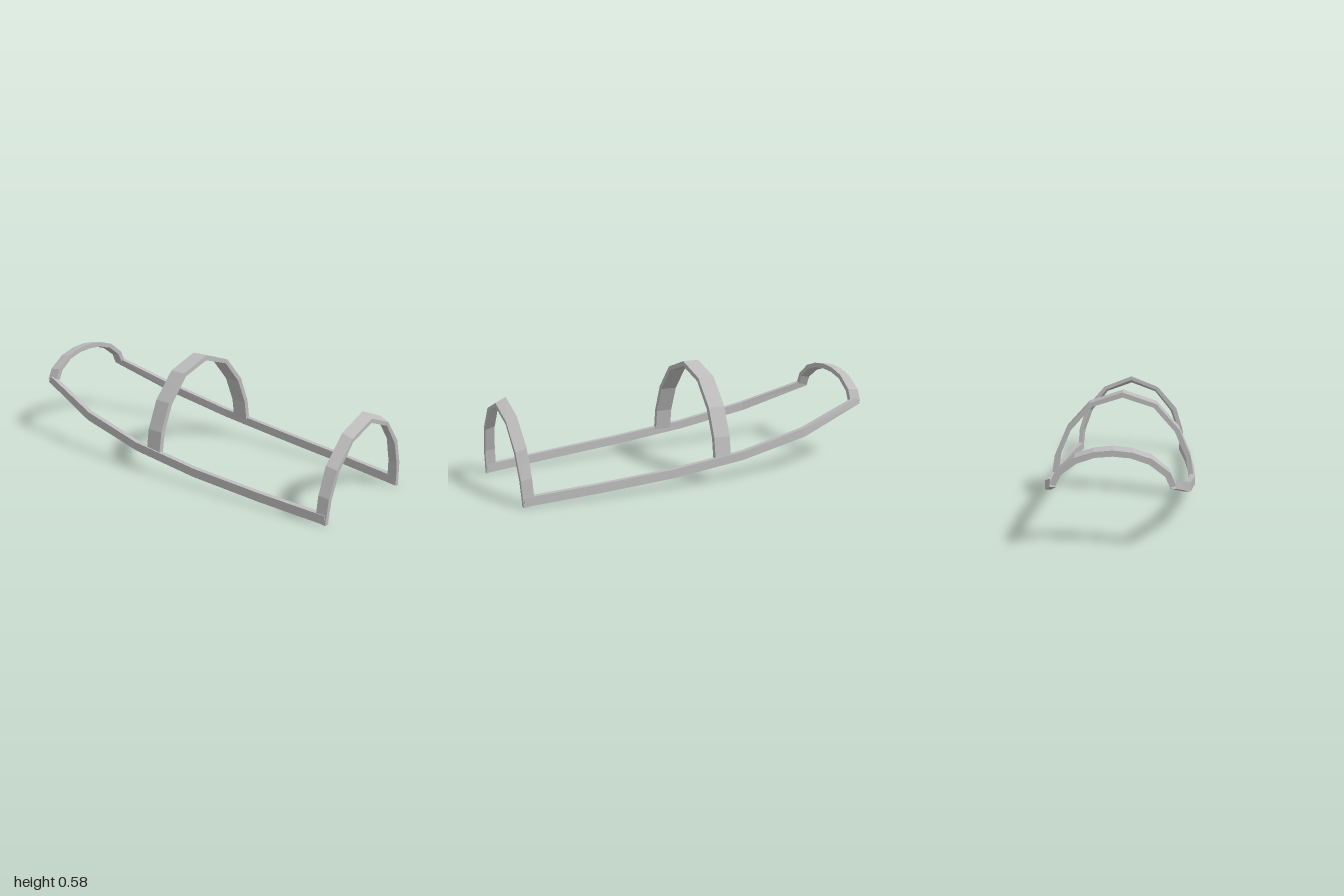
import * as THREE from 'three';

// Solid bar lofted through four-cornered sections, with closed ends.
function loft(rings, material, name) {
  const pos = [];
  const quad = (a, b, c, d) => pos.push(...a, ...b, ...c, ...a, ...c, ...d);
  for (let i = 0; i < rings.length - 1; i++) {
    for (let k = 0; k < 4; k++) {
      const n = (k + 1) % 4;
      quad(rings[i][k], rings[i][n], rings[i + 1][n], rings[i + 1][k]);
    }
  }
  const s = rings[0];
  quad(s[3], s[2], s[1], s[0]);
  quad(...rings[rings.length - 1]);
  const geo = new THREE.BufferGeometry();
  geo.setAttribute('position', new THREE.Float32BufferAttribute(pos, 3));
  geo.computeVertexNormals();
  const mesh = new THREE.Mesh(geo, material);
  mesh.name = name;
  return mesh;
}

// Hoop from half outlines (crown to foot): [x, y] lists for each of its four edges.
function hoop(edges, frontZ, backZ, material, name) {
  const { frontOuter, backOuter, backInner, frontInner } = edges;
  const at = (i, side) => [
    [frontOuter, frontZ], [backOuter, backZ], [backInner, backZ], [frontInner, frontZ],
  ].map(([list, z]) => [side * list[i][0], list[i][1], z(list[i][1])]);
  const rings = [];
  const last = frontOuter.length - 1;
  for (let i = last; i >= 0; i--) rings.push(at(i, 1));
  for (let i = 1; i <= last; i++) rings.push(at(i, -1));
  return loft(rings, material, name);
}

export function createModel() {
  const group = new THREE.Group();
  group.name = 'canopyFrame';
  const metal = new THREE.MeshStandardMaterial({ color: 0xbcbcbc, flatShading: true });
  metal.name = 'light grey metal';

  // Front hoop, leaning forward with a sloped crown
  group.add(hoop({
    frontOuter: [[0, 0.452], [0.16, 0.392], [0.27, 0.265], [0.318, 0.133], [0.33, 0]],
    backOuter: [[0, 0.478], [0.167, 0.412], [0.283, 0.28], [0.325, 0.142], [0.335, 0.01]],
    backInner: [[0, 0.455], [0.155, 0.393], [0.26, 0.265], [0.302, 0.135], [0.312, 0.01]],
    frontInner: [[0, 0.43], [0.15, 0.375], [0.247, 0.255], [0.293, 0.127], [0.308, 0]],
  }, (y) => 0.975 + 0.055 * y, (y) => 0.92 + 0.055 * y, metal, 'frontHoop'));

  // Middle hoop, tallest and upright
  const midOuter = [[0, 0.577], [0.178, 0.517], [0.298, 0.383], [0.36, 0.237], [0.378, 0.12]];
  const midInner = [[0, 0.55], [0.163, 0.498], [0.275, 0.37], [0.335, 0.23], [0.351, 0.12]];
  group.add(hoop({
    frontOuter: midOuter, backOuter: midOuter, backInner: midInner, frontInner: midInner,
  }, () => -0.04, () => -0.13, metal, 'middleHoop'));

  // Rear hoop, low and tapering slightly backwards
  group.add(hoop({
    frontOuter: [[0, 0.488], [0.086, 0.479], [0.17, 0.452], [0.25, 0.387], [0.273, 0.333]],
    backOuter: [[0, 0.48], [0.088, 0.471], [0.175, 0.443], [0.258, 0.38], [0.284, 0.322]],
    backInner: [[0, 0.452], [0.08, 0.445], [0.162, 0.417], [0.235, 0.362], [0.257, 0.312]],
    frontInner: [[0, 0.46], [0.077, 0.454], [0.157, 0.43], [0.227, 0.375], [0.25, 0.325]],
  }, () => -0.94, () => -1, metal, 'rearHoop'));

  // Side rails: outer x, bottom y, z of the bottom edge, z of the top edge
  const stations = [
    [0.331, 0.004, 0.975, 0.97], [0.363, 0.03, 0.6, 0.595], [0.383, 0.06, 0.2, 0.195],
    [0.383, 0.105, -0.2, -0.205], [0.355, 0.18, -0.6, -0.59], [0.283, 0.308, -1, -0.975],
  ];
  for (const side of [1, -1]) {
    const rings = stations.map(([x, y, zBottom, zTop]) => {
      const inner = side * (x - 0.028);
      const outer = side * x;
      const top = y + 0.046 - (zBottom === -1 ? 0.014 : 0);
      const ring = [[inner, y, zBottom], [inner, top, zTop], [outer, top, zTop], [outer, y, zBottom]];
      return side > 0 ? ring : ring.reverse();
    });
    group.add(loft(rings, metal, side > 0 ? 'leftRail' : 'rightRail'));
  }
  return group;
}
